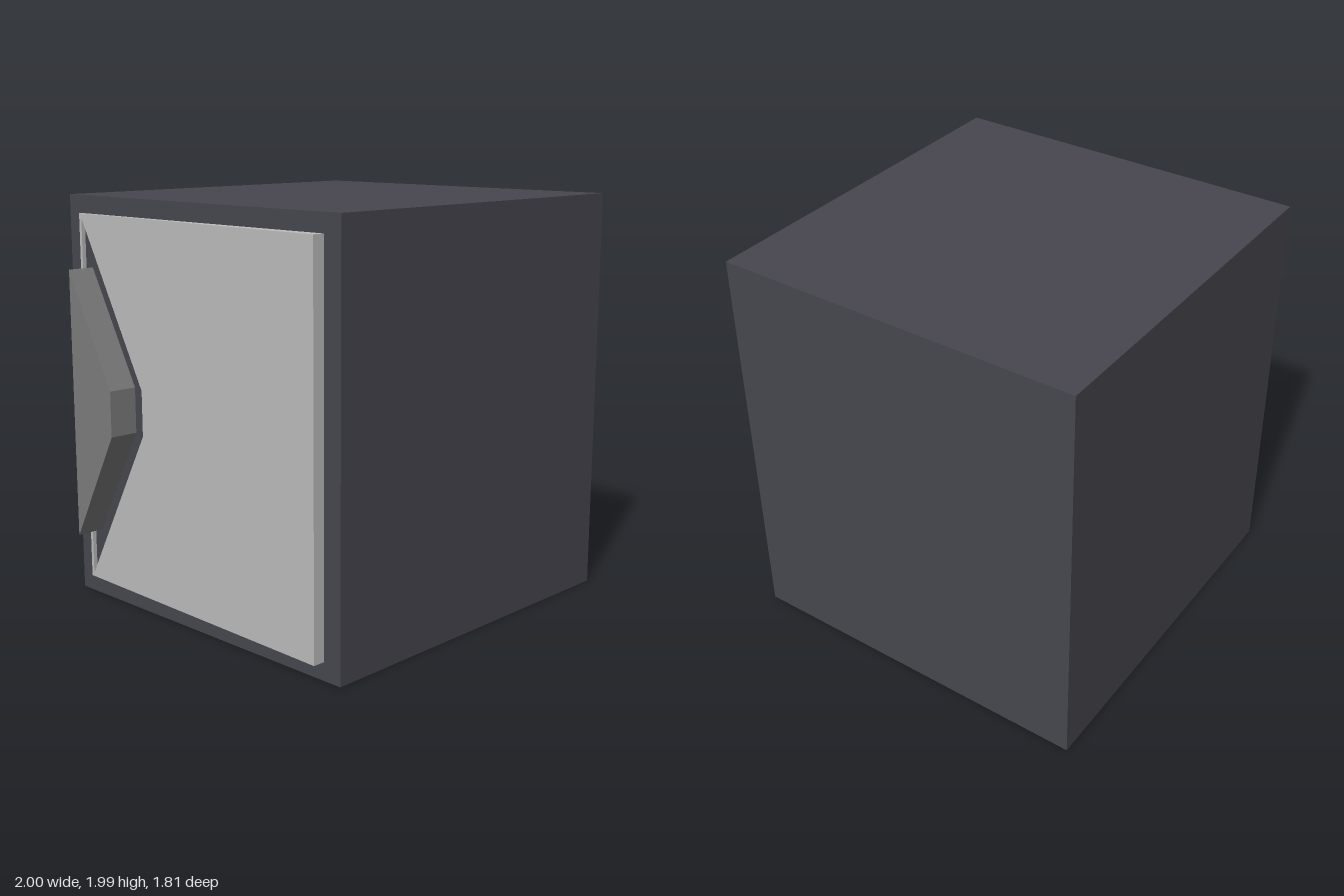
import * as THREE from 'three';

// Plate drawn as [z, y] points, running outwards (towards -x) from depth a to depth b
function plate(points, a, b, material, name, hole) {
  const toVec = ([z, y]) => new THREE.Vector2(z, y);
  const shape = new THREE.Shape(points.map(toVec));
  if (hole) shape.holes.push(new THREE.Path(hole.map(toVec)));
  const geometry = new THREE.ExtrudeGeometry(shape, { depth: b - a, bevelEnabled: false });
  geometry.translate(0, 0, a).rotateY(-Math.PI / 2);
  const mesh = new THREE.Mesh(geometry, material);
  mesh.name = name;
  return mesh;
}

// Trapezoid tapering towards +z, centred on height cy
const trapezoid = (z0, z1, cy, h0, h1) => [
  [z0, cy - h0], [z1, cy - h1], [z1, cy + h1], [z0, cy + h0],
];

export function createModel() {
  const model = new THREE.Group();
  model.name = 'cabinet';
  const material = (name, color) => {
    const m = new THREE.MeshStandardMaterial({ color });
    m.name = name;
    return m;
  };
  const bodyGrey = material('dark body grey', 0x47464f);
  const doorGrey = material('light door grey', 0xbdbcbd);
  const handleGrey = material('mid handle grey', 0x7c7c7c);

  // Solid cabinet body
  const body = new THREE.Mesh(new THREE.BoxGeometry(1.857, 1.99, 1.806), bodyGrey);
  body.name = 'body';
  body.position.set(0.0715, 0.995, 0);
  model.add(body);

  // Slightly open door with its handle
  const door = new THREE.Group();
  door.name = 'door';
  door.position.x = -0.897;
  door.rotation.y = -0.025;
  model.add(door);

  // Door panel with a tapered cut-out showing the body behind the handle
  const panel = [[-0.807, 0.086], [0.807, 0.086], [0.807, 1.904], [-0.807, 1.904]];
  door.add(plate(panel, -0.06, 0, doorGrey, 'doorPanel',
    trapezoid(-0.79, -0.35, 0.993, 0.89, 0.11)));

  // Handle in three layers; the middle one is notched to form the finger pocket
  const handle = new THREE.Group();
  handle.name = 'handle';
  const outline = trapezoid(-0.74, -0.44, 0.993, 0.655, 0.11);
  const notched = [...outline,
    [-0.74, 1.283], [-0.65, 1.283], [-0.65, 0.703], [-0.74, 0.703]];
  handle.add(
    plate(outline, -0.04, 0.02, handleGrey, 'handleBase'),
    plate(notched, 0.02, 0.102, handleGrey, 'handleGrip'),
    plate(outline, 0.102, 0.114, handleGrey, 'handleFace'),
  );
  door.add(handle);
  return model;
}
